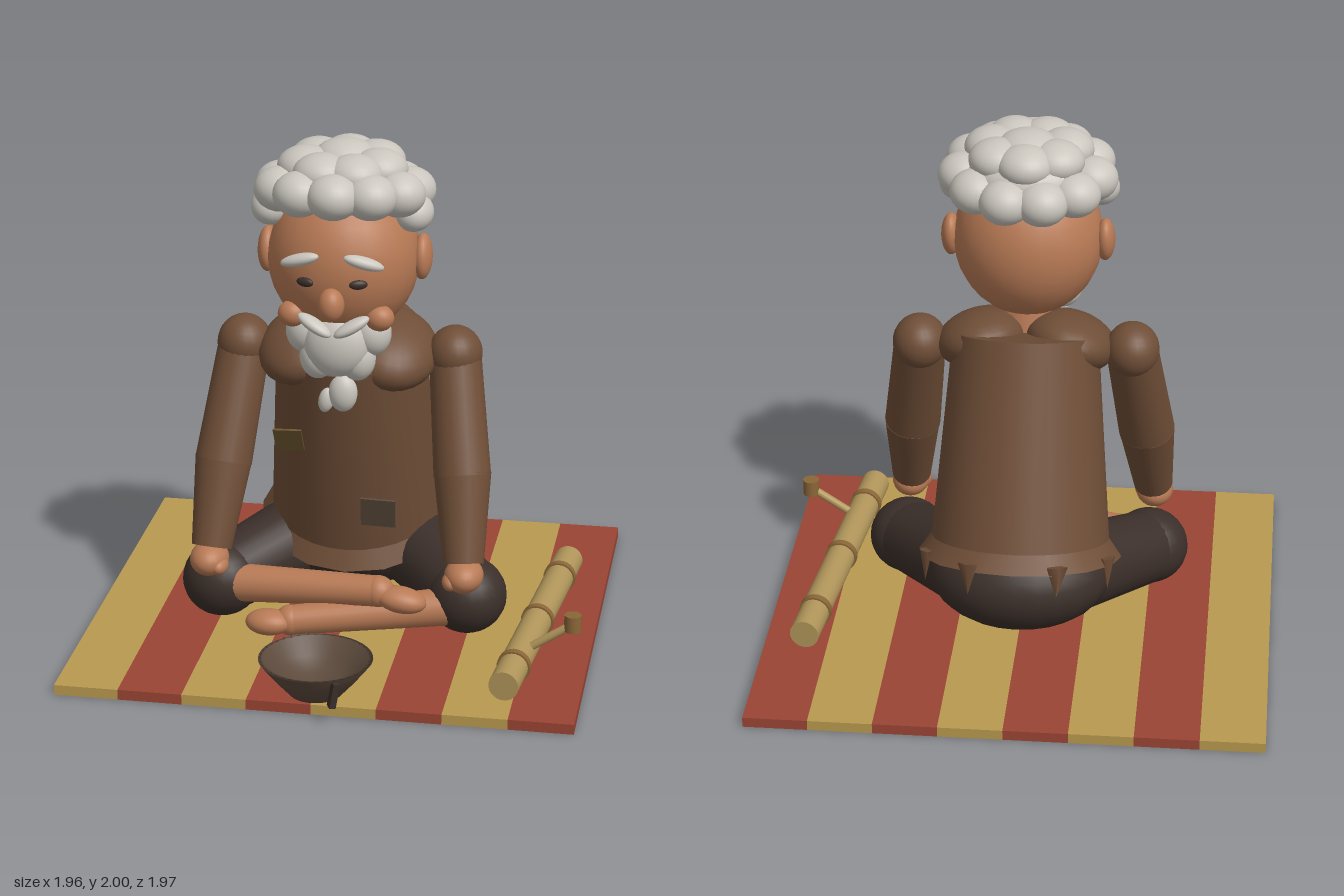
import * as THREE from 'three';

const mat = (name, color, side = THREE.FrontSide) => {
  const m = new THREE.MeshStandardMaterial({ color, side });
  m.name = name;
  return m;
};

export function createModel() {
  const root = new THREE.Group();
  root.name = 'seatedOldMan';

  const yellow = mat('mat yellow', 0xb8994f);
  const red = mat('mat red', 0x9a4434);
  const skin = mat('skin', 0xb87a55);
  const robe = mat('robe brown', 0x6f4e37, THREE.DoubleSide);
  const pants = mat('dark cloth', 0x3b2f2a);
  const hair = mat('white hair', 0xcac6be);
  const bamboo = mat('bamboo', 0xb0955a);
  const ring = mat('binding', 0x8a6638);
  const clay = mat('bowl brown', 0x5c4a3c, THREE.DoubleSide);
  const olive = mat('patch olive', 0x6b5530);

  const add = (name, geo, m, pos = [0, 0, 0], rot = [0, 0, 0], parent = root) => {
    const mesh = new THREE.Mesh(geo, m);
    mesh.name = name;
    mesh.position.set(...pos);
    mesh.rotation.set(...rot);
    parent.add(mesh);
    return mesh;
  };
  // Ellipsoid with radii r
  const ball = (name, m, pos, r, rot, parent) => {
    const mesh = add(name, new THREE.SphereGeometry(1, 24, 16), m, pos, rot, parent);
    mesh.scale.set(...r);
    return mesh;
  };
  // Tapered cylinder from a (radius ra) to b (radius rb)
  const limb = (name, m, a, b, ra, rb, parent) => {
    const A = new THREE.Vector3(...a), B = new THREE.Vector3(...b);
    const d = B.clone().sub(A);
    const mesh = add(name, new THREE.CylinderGeometry(rb, ra, d.length(), 24), m,
      A.clone().add(B).multiplyScalar(0.5).toArray(), [0, 0, 0], parent);
    mesh.quaternion.setFromUnitVectors(new THREE.Vector3(0, 1, 0), d.normalize());
    return mesh;
  };

  // Striped mat
  for (let i = 0; i < 8; i++) {
    add('matStripe', new THREE.BoxGeometry(0.245, 0.04, 1.86), i % 2 ? red : yellow,
      [-0.8575 + i * 0.245, 0.02, -0.06]);
  }

  // Leaning torso with a flared, torn hem
  const torso = new THREE.Group();
  torso.name = 'torso';
  torso.position.set(0, 0.82, -0.106);
  torso.rotation.x = 0.303;
  root.add(torso);
  add('robeBody', new THREE.CylinderGeometry(0.28, 0.345, 0.8, 32), robe, [0, 0, 0], [0, 0, 0], torso);
  add('hem', new THREE.CylinderGeometry(0.345, 0.395, 0.07, 16, 1, true), robe, [0, -0.435, 0], [0, 0, 0], torso);
  for (const a of [-1.15, -0.45, 0.45, 1.15]) {
    const tatter = add('tatter', new THREE.ConeGeometry(0.045, 0.12, 5), robe,
      [Math.sin(a) * 0.385, -0.5, -Math.cos(a) * 0.385], [Math.PI, a, 0], torso);
    tatter.scale.z = 0.5;
  }

  // Pelvis, neck
  ball('pelvis', pants, [0, 0.3, -0.24], [0.36, 0.22, 0.3]);
  limb('neck', skin, [0, 1.08, 0.08], [0, 1.36, 0.13], 0.13, 0.12);

  // Paired limbs
  for (const s of [-1, 1]) {
    ball('shoulderYoke', robe, [s * 0.17, 1.16, 0.04], [0.18, 0.115, 0.22], [0.3, 0, -s * 0.25]);
    ball('shoulder', robe, [s * 0.41, 1.145, 0.01], [0.105, 0.108, 0.115]);
    limb('upperSleeve', robe, [s * 0.41, 1.14, 0.01], [s * 0.465, 0.71, 0.175], 0.1, 0.11);
    ball('elbow', robe, [s * 0.465, 0.72, 0.17], [0.108, 0.105, 0.108]);
    limb('lowerSleeve', robe, [s * 0.465, 0.72, 0.17], [s * 0.49, 0.4, 0.3], 0.11, 0.078);
    ball('hand', skin, [s * 0.495, 0.36, 0.32], [0.075, 0.065, 0.095]);
    ball('thumb', skin, [s * 0.45, 0.345, 0.35], [0.035, 0.035, 0.055]);
    limb('thigh', pants, [s * 0.2, 0.28, -0.2], [s * 0.48, 0.2, 0.13], 0.17, 0.145);
    ball('knee', pants, [s * 0.485, 0.2, 0.14], [0.155, 0.15, 0.155]);
  }

  // Crossed shins and feet
  limb('upperShin', skin, [-0.42, 0.21, 0.2], [0.16, 0.25, 0.28], 0.075, 0.06);
  ball('upperAnkle', skin, [0.16, 0.25, 0.28], [0.062, 0.062, 0.062]);
  ball('upperFoot', skin, [0.25, 0.23, 0.3], [0.1, 0.05, 0.065], [0, 0, -0.15]);
  limb('lowerShin', skin, [0.42, 0.17, 0.2], [-0.18, 0.12, 0.32], 0.075, 0.058);
  ball('lowerAnkle', skin, [-0.18, 0.12, 0.32], [0.06, 0.06, 0.06]);
  ball('lowerFoot', skin, [-0.26, 0.12, 0.35], [0.09, 0.05, 0.065]);

  // Cloth patches
  add('chestPatch', new THREE.BoxGeometry(0.11, 0.11, 0.009), olive, [-0.195, 0.84, 0.245], [0.45, 0, 0.04]);
  add('bellyPatch', new THREE.BoxGeometry(0.135, 0.13, 0.009), clay, [0.135, 0.52, 0.145], [0.3, 0, -0.03]);

  // Head and face
  ball('head', skin, [0, 1.555, 0.13], [0.287, 0.31, 0.285]);
  ball('nose', skin, [0, 1.45, 0.415], [0.05, 0.065, 0.055]);
  for (const s of [-1, 1]) {
    ball('ear', skin, [s * 0.295, 1.56, 0.11], [0.038, 0.088, 0.065], [-0.2, 0, 0]);
    ball('cheek', skin, [s * 0.165, 1.375, 0.31], [0.055, 0.05, 0.05]);
    ball('eye', pants, [s * 0.1, 1.53, 0.4], [0.035, 0.018, 0.014], [0, s * 0.35, 0]);
    ball('eyebrow', hair, [s * 0.12, 1.615, 0.4], [0.078, 0.024, 0.03], [0, s * 0.2, -s * 0.28]);
    ball('moustache', hair, [s * 0.07, 1.355, 0.375], [0.075, 0.024, 0.035], [0, s * 0.25, s * 0.5]);
    ball('sideBeard', hair, [s * 0.12, 1.3, 0.25], [0.08, 0.095, 0.08], [0, 0, s * 0.2]);
    ball('lowerBeard', hair, [s * 0.075, 1.2, 0.27], [0.07, 0.09, 0.07]);
  }
  ball('beard', hair, [0, 1.26, 0.295], [0.125, 0.13, 0.085]);
  ball('beardTip', hair, [0.02, 1.055, 0.27], [0.055, 0.075, 0.045]);
  ball('beardWisp', hair, [-0.045, 1.02, 0.265], [0.03, 0.05, 0.028], [0, 0, -0.2]);

  // Curly hair: core, outer ring, crown ring, top curl
  ball('hairCore', hair, [0, 1.84, 0.13], [0.25, 0.12, 0.25]);
  for (let i = 0; i < 11; i++) {
    const a = (i / 11) * Math.PI * 2;
    ball('outerCurl', hair, [Math.sin(a) * 0.245, 1.82 + 0.03 * Math.cos(a), 0.13 + Math.cos(a) * 0.235],
      [0.1, 0.085, 0.1]);
  }
  for (let i = 0; i < 7; i++) {
    const a = ((i + 0.5) / 7) * Math.PI * 2;
    ball('crownCurl', hair, [Math.sin(a) * 0.14, 1.905, 0.13 + Math.cos(a) * 0.14], [0.11, 0.078, 0.11]);
  }
  ball('topCurl', hair, [0, 1.93, 0.1], [0.12, 0.07, 0.12]);
  for (const s of [-1, 1]) {
    ball('templeCurl', hair, [s * 0.27, 1.75, 0.17], [0.075, 0.07, 0.085], [0.3, 0, 0]);
  }

  // Begging bowl with a cracked rim
  const profile = [[0, 0.042], [0.1, 0.042], [0.16, 0.11], [0.215, 0.18], [0.2, 0.18],
    [0.15, 0.12], [0.09, 0.075], [0, 0.06]].map(p => new THREE.Vector2(...p));
  add('bowl', new THREE.LatheGeometry(profile, 40), clay, [0, 0, 0.76]);
  add('bowlCrack', new THREE.BoxGeometry(0.025, 0.1, 0.03), pants, [0.1, 0.125, 0.945], [0.12, 0.5, -0.2]);

  // Bamboo instrument with bindings and a side peg
  const start = new THREE.Vector3(0.82, 0.1, -0.49), end = new THREE.Vector3(0.7, 0.1, 0.72);
  const along = t => start.clone().lerp(end, t).toArray();
  limb('bambooTube', bamboo, along(0), along(1), 0.057, 0.057);
  for (const t of [0.15, 0.5, 0.85]) {
    limb('binding', ring, along(t - 0.012), along(t + 0.012), 0.064, 0.064);
  }
  limb('pegStem', bamboo, [0.74, 0.11, 0.42], [0.92, 0.23, 0.42], 0.016, 0.016);
  add('pegHead', new THREE.CylinderGeometry(0.033, 0.033, 0.065, 16), ring, [0.925, 0.24, 0.42]);

  return root;
}
